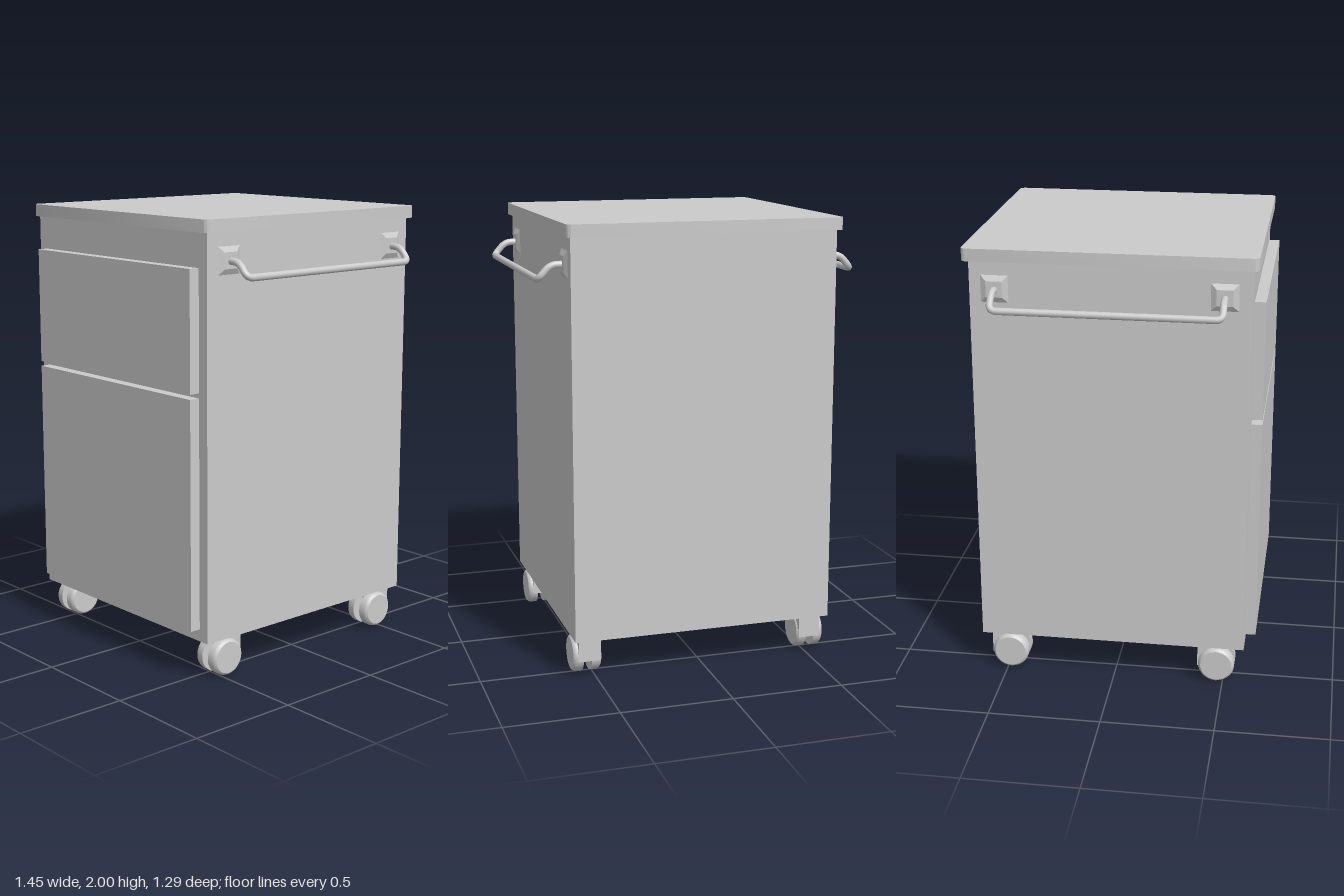
import * as THREE from 'three';
import { toCreasedNormals } from 'three/addons/utils/BufferGeometryUtils.js';

const material = new THREE.MeshStandardMaterial({ color: 0xcccccc });

function add(parent, name, geometry, x = 0, y = 0, z = 0) {
  const mesh = new THREE.Mesh(geometry, material);
  mesh.name = name;
  mesh.position.set(x, y, z);
  parent.add(mesh);
  return mesh;
}

// Box given by its lower and upper limits on each axis
function block(parent, name, [x0, x1], [y0, y1], [z0, z1]) {
  return add(parent, name, new THREE.BoxGeometry(x1 - x0, y1 - y0, z1 - z0),
    (x0 + x1) / 2, (y0 + y1) / 2, (z0 + z1) / 2);
}

// Flat slab with rounded vertical corners, base at y = 0
function roundedSlab(w, d, h, r) {
  const s = new THREE.Shape();
  const x = w / 2 - r, y = d / 2 - r;
  s.absarc(x, y, r, 0, Math.PI / 2);
  s.absarc(-x, y, r, Math.PI / 2, Math.PI);
  s.absarc(-x, -y, r, Math.PI, Math.PI * 1.5);
  s.absarc(x, -y, r, Math.PI * 1.5, Math.PI * 2);
  s.closePath();
  const g = new THREE.ExtrudeGeometry(s, { depth: h, bevelEnabled: false, curveSegments: 6 });
  g.rotateX(-Math.PI / 2);
  return toCreasedNormals(g, 0.6);
}

// Polyline with its inner corners rounded off at distance r
function filletedPath(points, r) {
  const path = new THREE.CurvePath();
  let last = points[0];
  for (let i = 1; i < points.length - 1; i++) {
    const p = points[i];
    const toward = (q) => p.clone().add(q.clone().sub(p).setLength(r));
    const a = toward(points[i - 1]), b = toward(points[i + 1]);
    path.add(new THREE.LineCurve3(last, a));
    path.add(new THREE.QuadraticBezierCurve3(a, p, b));
    last = b;
  }
  path.add(new THREE.LineCurve3(last, points[points.length - 1]));
  return path;
}

// Push rail on one side: bent tube and two bevelled mounting plates
function createRail(side) {
  const rail = new THREE.Group();
  rail.name = side > 0 ? 'leftRail' : 'rightRail';
  const mid = -0.015, half = 0.489;
  const end = (s) => [[0.595, 1.822], [0.657, 1.822], [0.71, 1.761]]
    .map(([x, y]) => new THREE.Vector3(side * x, y, mid + s * half));
  const path = filletedPath([...end(1), ...end(-1).reverse()], 0.032);
  add(rail, 'railTube', new THREE.TubeGeometry(path, 160, 0.0155, 12));
  for (const s of [1, -1]) {
    // Four-sided frustum lying against the cabinet side
    const plate = new THREE.CylinderGeometry(0.035 * Math.SQRT2, 0.061 * Math.SQRT2, 0.014, 4).toNonIndexed();
    plate.rotateY(Math.PI / 4);
    plate.rotateZ(-side * Math.PI / 2);
    plate.computeVertexNormals();
    add(rail, 'railPlate', plate, side * 0.601, 1.825, mid + s * half);
  }
  return rail;
}

// Twin-wheel caster with a housing trailing to the rear
function createCaster(side, z) {
  const caster = new THREE.Group();
  caster.name = 'caster';
  const R = 0.083, w = 0.0225;
  const profile = [[0, -w], [R, -w], [R, w - 0.016], [R - 0.004, w - 0.006], [R - 0.012, w], [0, w]]
    .map(([r, y]) => new THREE.Vector2(r, y));
  for (const s of [1, -1]) {
    const g = new THREE.LatheGeometry(profile, 28);
    g.rotateZ(-s * Math.PI / 2);
    add(caster, 'wheel', toCreasedNormals(g, 0.6), s * 0.041, R, 0);
  }
  const hx = -side * 0.008;
  block(caster, 'housing', [hx - 0.05, hx + 0.05], [0.067, 0.178], [-0.087, 0.022]);
  caster.position.set(side * 0.529, 0, z);
  return caster;
}

export function createModel() {
  const model = new THREE.Group();
  model.name = 'rollingCabinet';

  // Cabinet and overhanging top
  block(model, 'body', [-0.595, 0.595], [0.175, 1.945], [-0.613, 0.594]);
  add(model, 'worktop', roundedSlab(1.232, 1.257, 0.055, 0.025), 0, 1.945, -0.0145);

  // Fronts
  block(model, 'drawerFront', [-0.543, 0.543], [1.272, 1.797], [0.594, 0.643]);
  block(model, 'doorFront', [-0.543, 0.543], [0.23, 1.25], [0.594, 0.643]);

  // Mirrored rails and casters
  for (const side of [1, -1]) {
    model.add(createRail(side));
    for (const z of [0.469, -0.486]) model.add(createCaster(side, z));
  }
  return model;
}
